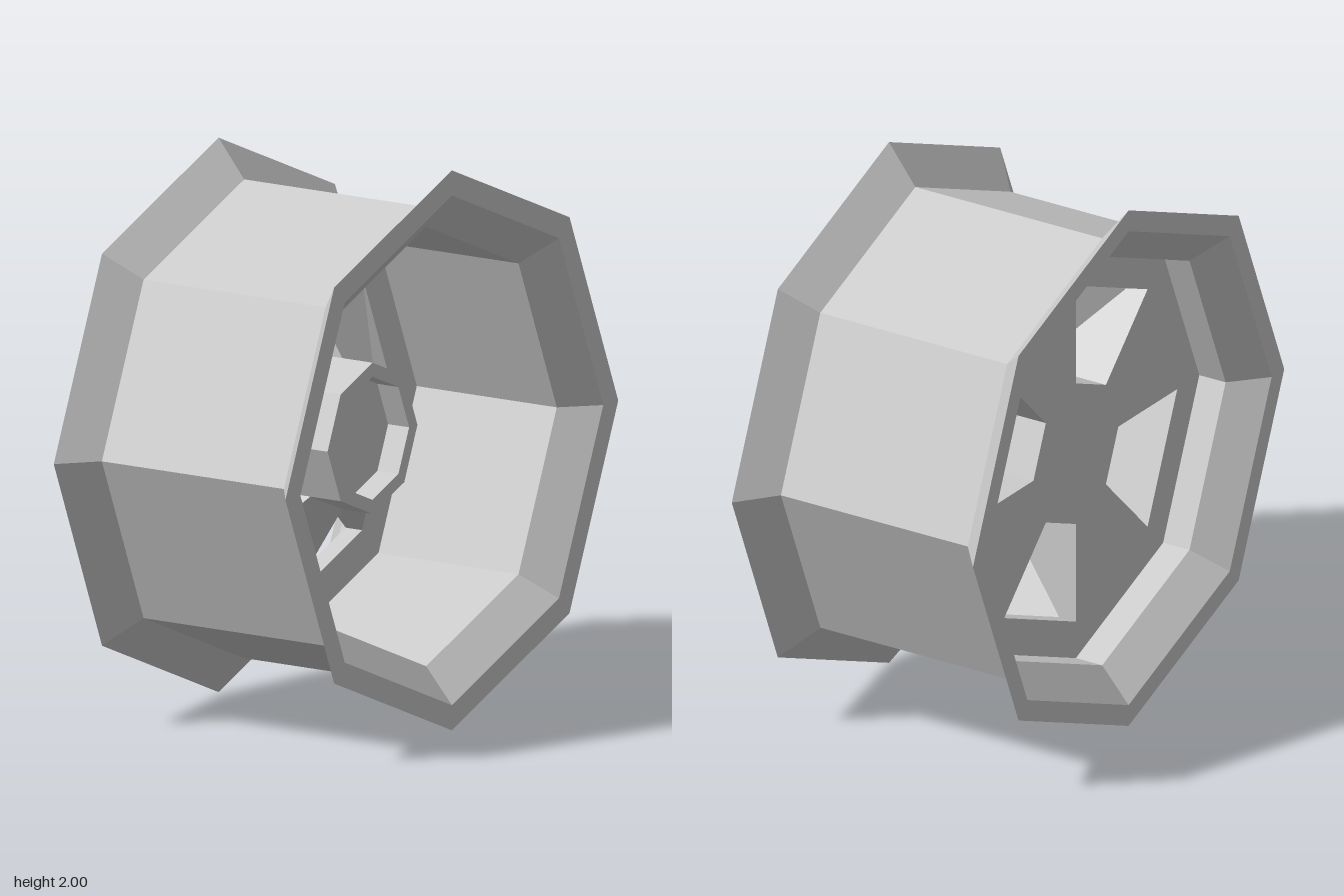
import * as THREE from 'three';
import { mergeGeometries } from 'three/addons/utils/BufferGeometryUtils.js';

const SIDES = 8;
const STEP = (Math.PI * 2) / SIDES;

// Each profile is a counter-clockwise loop of [radius, position along the axle]
const RIM = [
  [0.645, -0.28], [0.785, -0.28], [0.785, -0.39], [0.91, -0.5], [0.99, -0.5], [0.855, -0.39],
  [0.855, 0.39], [1, 0.5], [0.91, 0.5], [0.785, 0.39], [0.785, -0.21], [0.645, -0.21],
];
const HUB = [[0, -0.28], [0.27, -0.28], [0.27, 0.16], [0.22, 0.16], [0.22, 0.07], [0, 0.07]];
const SPOKE = [[0.27, -0.28], [0.645, -0.28], [0.645, -0.21], [0.27, 0.03]];

const toPoints = (profile) => profile.map(([r, h]) => new THREE.Vector2(r, h));

// Lay the axle along x and give every facet its own normal
function finish(geometry) {
  const flat = geometry.toNonIndexed();
  flat.rotateZ(-Math.PI / 2);
  flat.computeVertexNormals();
  return flat;
}

// Full octagonal ring from a profile
function ring(profile) {
  const points = toPoints(profile);
  return finish(new THREE.LatheGeometry([...points, points[0].clone()], SIDES));
}

// One octant of a profile, closed at both ends
function wedge(profile, start) {
  const points = toPoints(profile);
  const body = new THREE.LatheGeometry([...points, points[0].clone()], 1, start, STEP);
  const cap = (angle) => new THREE.ShapeGeometry(new THREE.Shape(points)).rotateY(angle - Math.PI / 2);
  const startCap = cap(start);
  const endCap = cap(start + STEP);
  endCap.index.array.reverse();
  return finish(mergeGeometries([body, startCap, endCap]));
}

export function createModel() {
  const model = new THREE.Group();
  model.name = 'wheelRim';
  const material = new THREE.MeshStandardMaterial({ color: 0xcccccc, flatShading: true });

  const add = (name, geometry) => {
    const mesh = new THREE.Mesh(geometry, material);
    mesh.name = name;
    mesh.position.y = 1;
    model.add(mesh);
  };

  // Barrel with flared flanges and the flat ring around the windows
  add('rim', ring(RIM));

  // Raised centre with a cupped face
  add('hub', ring(HUB));

  // Four sloping spokes, leaving a window in every other octant
  for (let i = 1; i < SIDES; i += 2) add('spoke', wedge(SPOKE, i * STEP));

  return model;
}
